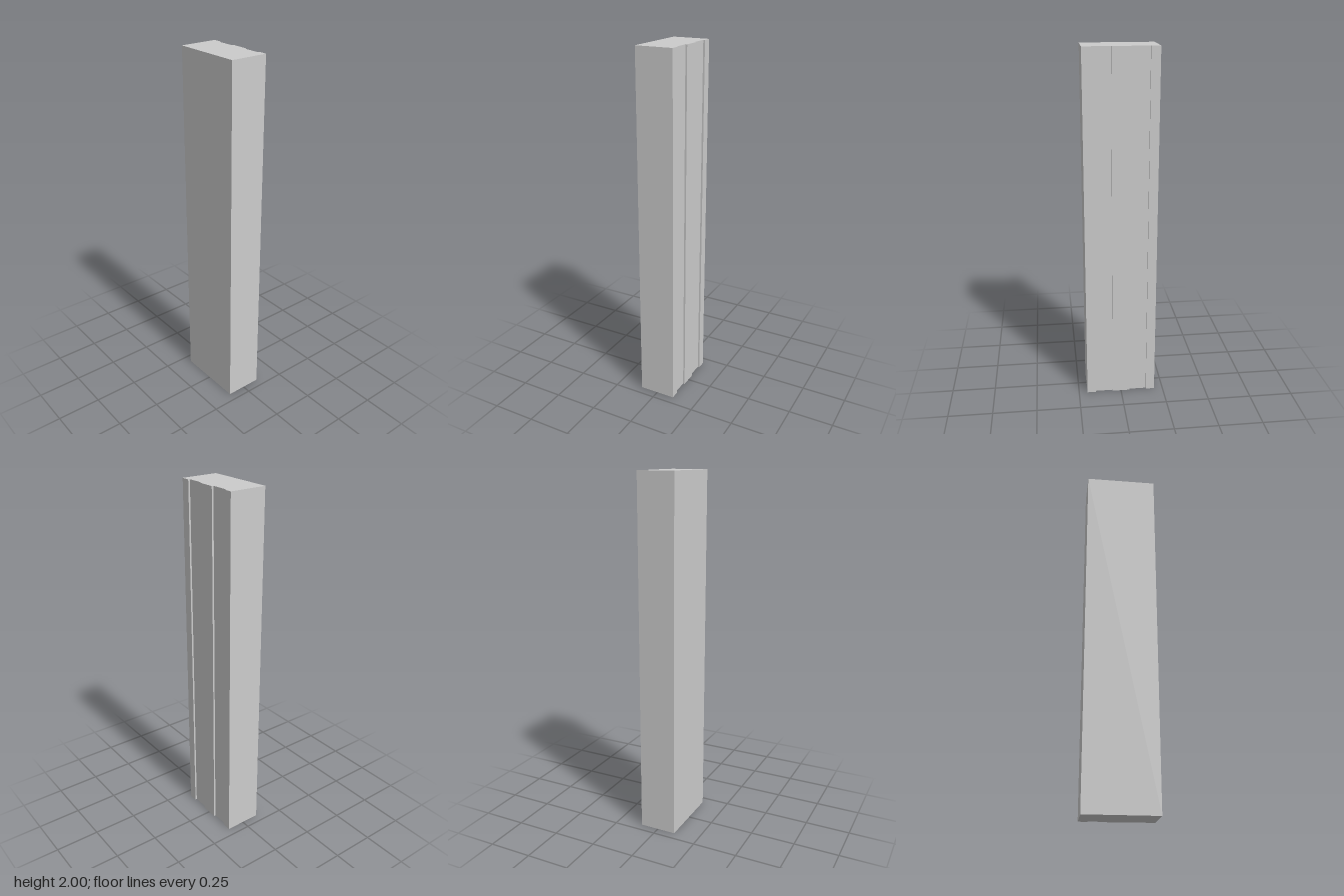
import * as THREE from 'three';

export function createModel() {
  const group = new THREE.Group();
  const halfWidth = 0.105, halfDepth = 0.2, height = 2;
  const grooveX = 0.095, grooveHalf = 0.05;

  // Plan outline: a plain slab with two shallow grooves along its +x side
  const plan = new THREE.Shape();
  plan.moveTo(-halfWidth, -halfDepth);
  plan.lineTo(halfWidth, -halfDepth);
  for (const centre of [-0.1, 0.1]) {
    plan.lineTo(halfWidth, centre - grooveHalf);
    plan.lineTo(grooveX, centre - grooveHalf);
    plan.lineTo(grooveX, centre + grooveHalf);
    plan.lineTo(halfWidth, centre + grooveHalf);
  }
  plan.lineTo(halfWidth, halfDepth);
  plan.lineTo(-halfWidth, halfDepth);
  plan.closePath();

  // Raise the outline into an upright panel
  const geometry = new THREE.ExtrudeGeometry(plan, { depth: height, bevelEnabled: false });
  geometry.rotateX(-Math.PI / 2);

  const panel = new THREE.Mesh(geometry, new THREE.MeshStandardMaterial({ color: 0xcccccc }));
  panel.name = 'groovedWallPanel';
  group.add(panel);
  return group;
}
